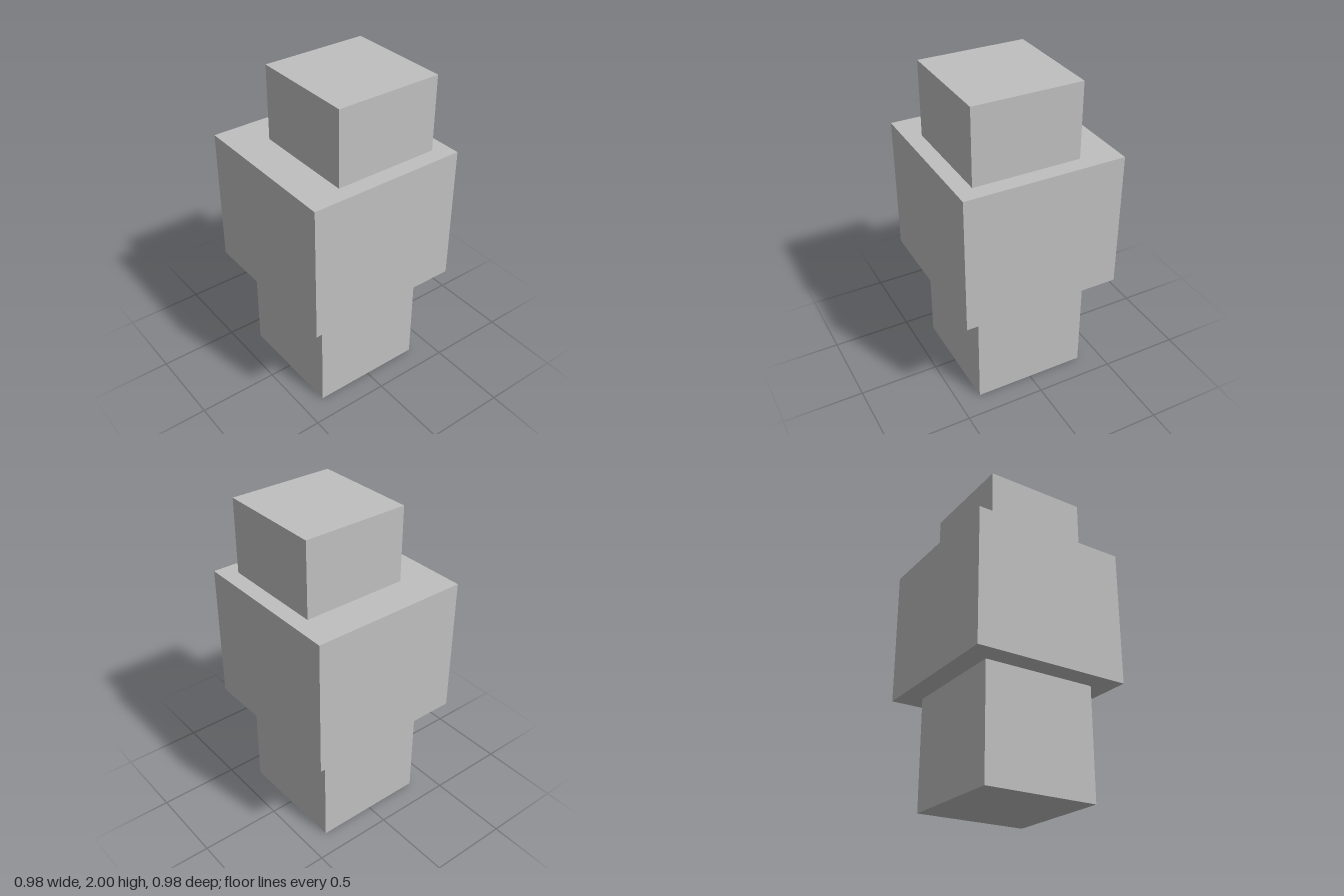
import * as THREE from 'three';

export function createModel() {
  const model = new THREE.Group();
  model.name = 'stackedBlocks';

  const grey = new THREE.MeshStandardMaterial({ color: 0xbfbfbf });
  grey.name = 'grey';

  // Square block from its width, bottom, top and sideways/forward offset
  function block(name, width, bottom, top, offset = 0) {
    const mesh = new THREE.Mesh(new THREE.BoxGeometry(width, top - bottom, width), grey);
    mesh.name = name;
    mesh.position.set(offset, (bottom + top) / 2, offset);
    model.add(mesh);
  }

  block('lowerBlock', 0.716, 0, 0.692);
  block('middleBlock', 0.984, 0.692, 1.54);
  // The top block sits off centre, towards the front left
  block('upperBlock', 0.656, 1.54, 2, 0.064);

  return model;
}
